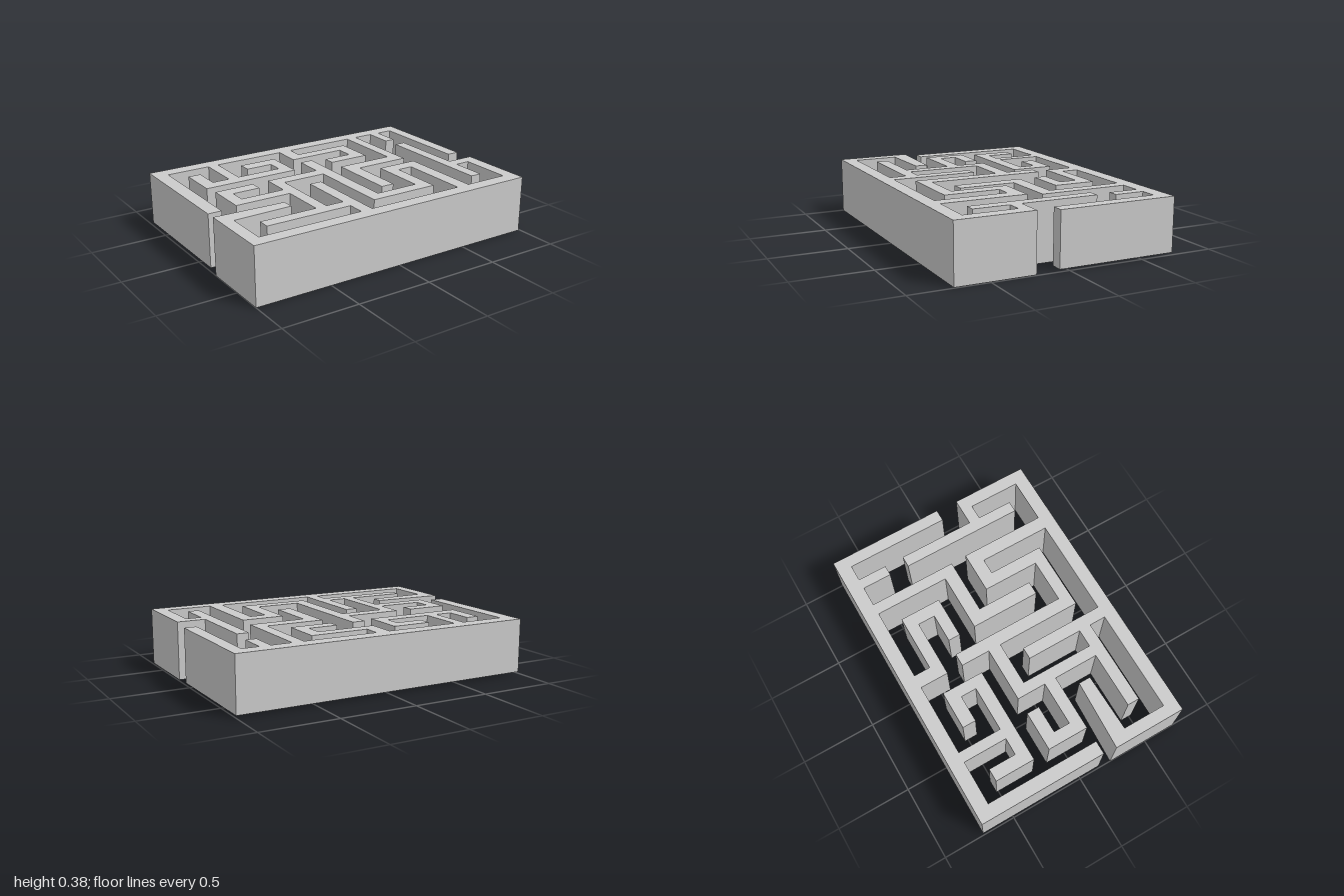
import * as THREE from 'three';

// Walks a right-angled outline: each number is the next x or z in turn,
// and a pair is a free corner.
function corners(x, z, alongX, steps) {
  const points = [new THREE.Vector2(x, z)];
  for (const step of steps) {
    if (Array.isArray(step)) [x, z] = step;
    else {
      if (alongX) x = step;
      else z = step;
      alongX = !alongX;
    }
    points.push(new THREE.Vector2(x, z));
  }
  return points;
}

// Raises a plan in x and z into a solid wall between two heights;
// holes run the opposite way round to the outline.
function walls(name, outline, holes, bottom, top) {
  const shape = new THREE.Shape(outline);
  shape.holes = holes.map((hole) => new THREE.Path(hole));
  const geometry = new THREE.ExtrudeGeometry(shape, { depth: top - bottom, bevelEnabled: false });
  geometry.rotateX(Math.PI / 2).translate(0, top, 0);
  const mesh = new THREE.Mesh(geometry, new THREE.MeshStandardMaterial({ color: 0xcccccc, flatShading: true }));
  mesh.name = name;
  return mesh;
}

export function createModel() {
  const model = new THREE.Group();
  model.name = 'maze';

  // Back border with the walls that branch off it
  const back = corners(-0.99, 0.145, false, [
    -0.72, 1, 0.065, 0.92, -0.625, // border
    0.81, -0.43, 0.74, -0.625, // short stub
    0.605, -0.04, 0.23, 0.335, 0.14, -0.13, 0.53, -0.625, // long stepped wall
    0.04, -0.515, 0.42, -0.24, 0.14, -0.32, 0.335, -0.435, -0.05, -0.625, // hook
    -0.535, -0.33, -0.23, -0.435, -0.41, -0.525, -0.155, -0.245, // spiral
    -0.805, -0.515, -0.72, -0.33, -0.605, -0.625, // spiral's left arm
    -0.9, 0.145,
  ]);

  // Front border with the walls that branch off it
  const front = corners(-1, 0.72, true, [
    0.99, 0.21, 0.805, -0.3, 0.73, 0.52, 0.805, 0.285, 0.905, 0.63, // border and gate wall
    0.605, 0.065, 0.325, 0.44, 0.03, -0.33, -0.055, -0.135, // central winding wall
    -0.425, 0.06, -0.72, -0.05, -0.535, -0.135, -0.8, 0.14, // side hook
    -0.425, 0.44, -0.805, 0.52, -0.23, 0.63, // side bar
    -0.92, 0.34, [-0.53, 0.33], [-0.53, 0.25], [-1, 0.23], // tapered end
  ]);

  // Passage closed in by the front walls
  const passage = corners(-0.15, 0.63, false, [
    0.065, -0.23, 0.44, -0.35, -0.05, -0.055, 0.52, 0.41, 0.155, 0.515, 0.63,
  ]);

  model.add(walls('backWalls', back, [], 0.015, 0.365));
  model.add(walls('frontWalls', front, [passage], 0, 0.375));
  return model;
}
